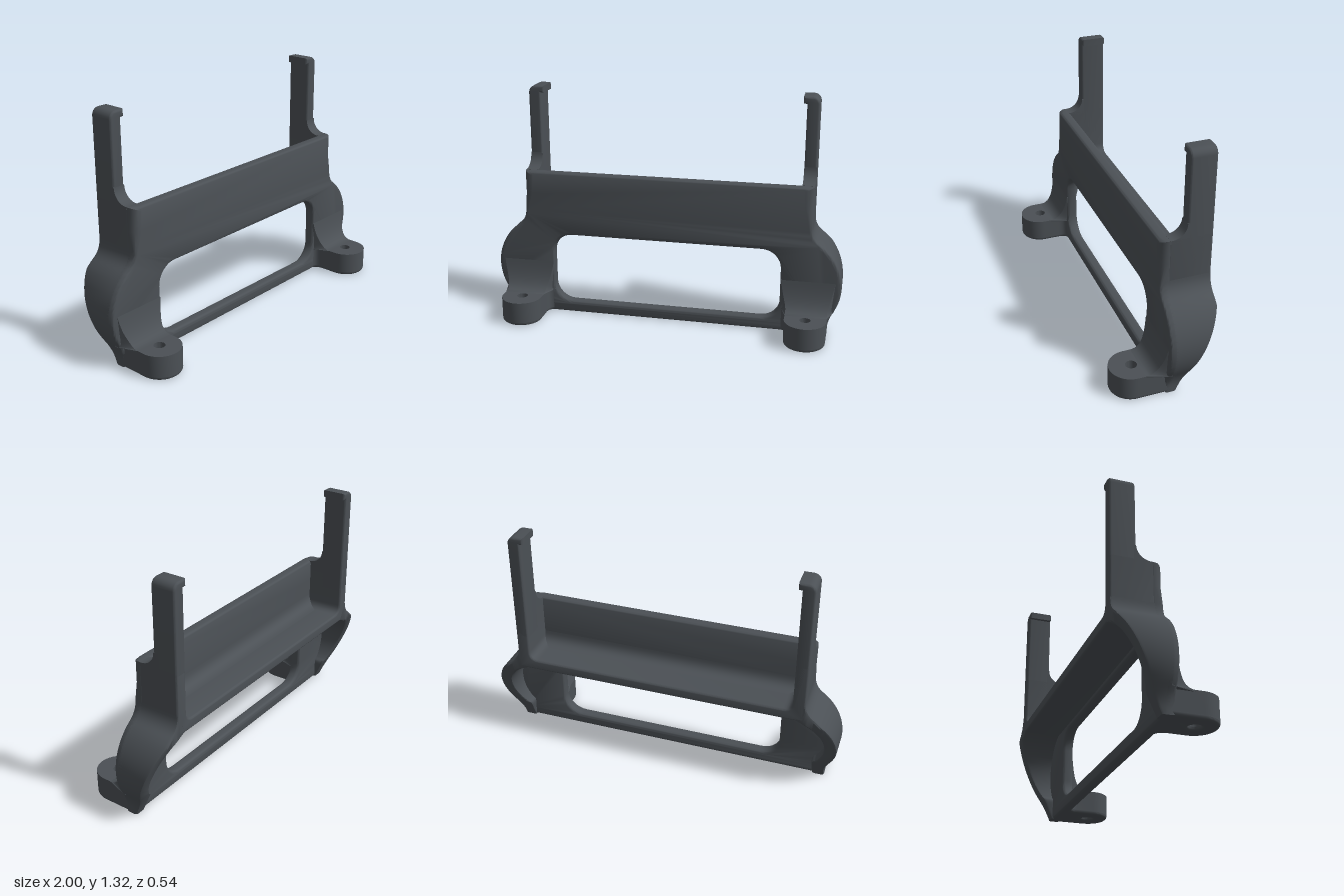
import * as THREE from 'three';
import { toCreasedNormals } from 'three/addons/utils/BufferGeometryUtils.js';

const FRONT = 0.01, BACK = -0.27;
const material = new THREE.MeshStandardMaterial({ color: 0x4b5055 });
const v = (x, y) => new THREE.Vector2(x, y);
const mirror = pts => pts.map(p => v(-p.x, p.y)).reverse();
const clamp = THREE.MathUtils.clamp;

function part(name, geometry) {
  const mesh = new THREE.Mesh(toCreasedNormals(geometry, 0.6), material);
  mesh.name = name;
  return mesh;
}

function arc(cx, cy, r, a0, a1, n) {
  const pts = [];
  for (let i = 0; i <= n; i++) {
    const a = THREE.MathUtils.degToRad(a0 + (a1 - a0) * i / n);
    pts.push(v(cx + r * Math.cos(a), cy + r * Math.sin(a)));
  }
  return pts;
}

function curve(x0, y0, cx, cy, x1, y1, n = 6) {
  return new THREE.QuadraticBezierCurve(v(x0, y0), v(cx, cy), v(x1, y1)).getPoints(n);
}

function roundedRect(w, y0, y1, r) {
  return [
    ...arc(w - r, y0 + r, r, -90, 0, 8), ...arc(w - r, y1 - r, r, 0, 90, 8),
    ...arc(r - w, y1 - r, r, 90, 180, 8), ...arc(r - w, y0 + r, r, 180, 270, 8),
  ];
}

// Extrusion that keeps the shape's full size, spanning z = 0..depth
function extrude(shape, depth, bevel = 0) {
  return new THREE.ExtrudeGeometry(shape, {
    depth: depth - 2 * bevel, bevelEnabled: bevel > 0, bevelThickness: bevel,
    bevelSize: bevel, bevelOffset: -bevel, bevelSegments: 4, curveSegments: 20,
  }).translate(0, 0, bevel);
}

// Extrude a (z, y) profile along x, centred on x
function alongX(points, width, x) {
  return extrude(new THREE.Shape(points), width).rotateY(-Math.PI / 2).translate(x + width / 2, 0, 0);
}

// Bulging side contour, from the base up to the straight shoulder
const side = [
  v(0.93, 0),
  ...curve(0.93, 0.03, 0.93, 0.075, 0.96, 0.13),
  ...arc(0.7, 0.28, 0.3, -30, 55, 24).slice(1),
  ...curve(0.872, 0.526, 0.825, 0.559, 0.825, 0.62).slice(1),
];

// Front plate with its window; the upper side edges are rounded more strongly
function frontPlate() {
  const right = [...side, v(0.825, 0.72), v(0.825, 0.85), v(0.77, 0.85)];
  const shape = new THREE.Shape([...right, ...mirror(right)]);
  shape.holes.push(new THREE.Path(roundedRect(0.66, 0.07, 0.48, 0.11)));
  const geo = extrude(shape, 0.065, 0.018).translate(0, 0, FRONT - 0.065);
  const p = geo.attributes.position;
  for (let i = 0; i < p.count; i++) {
    const x = p.getX(i), y = p.getY(i), z = p.getZ(i);
    if (y < 0.62 || Math.abs(x) < 0.78 || z < FRONT - 0.03) continue;
    const k = 1 + 1.5 * clamp((y - 0.62) / 0.1, 0, 1);
    p.setX(i, Math.sign(x) * (0.825 - k * (0.825 - Math.abs(x))));
    p.setZ(i, FRONT - k * (FRONT - z));
  }
  return part('frontPlate', geo);
}

// Shelf with the two upright side walls
function shelfAndWalls() {
  const right = [
    v(0.825, 0.5), v(0.825, 0.85), v(0.755, 0.85),
    ...curve(0.755, 0.61, 0.755, 0.56, 0.705, 0.56),
  ];
  const shape = new THREE.Shape([...right, ...mirror(right)]);
  return part('shelfAndWalls', extrude(shape, -0.035 - BACK, 0.012).translate(0, 0, BACK));
}

// Curved lower side wall, swept along the bulge, its rear edge cut on a slope
function cheek(s) {
  const N = 48, r = 0.014, m = r * 0.3;
  const outer = new THREE.SplineCurve(side).getSpacedPoints(N);
  const inner = new THREE.SplineCurve([v(0.86, 0), v(0.86, 0.06), ...arc(0.7, 0.28, 0.23, -46, 73, 20)]).getSpacedPoints(N);
  const backAt = y => THREE.MathUtils.lerp(-0.06, BACK, clamp(y / 0.48, 0, 1));
  const pos = [], index = [], R = 8;
  const tri = (a, b, c) => index.push(...(s > 0 ? [a, b, c] : [a, c, b]));
  outer.forEach((o, i) => {
    const n = inner[i], u = n.clone().sub(o).normalize();
    const add = (base, inset, lift) => {
      const q = base.clone().addScaledVector(u, inset);
      pos.push(s * q.x, q.y, lift === null ? -0.02 : backAt(q.y) + lift);
    };
    add(o, 0, null); add(o, 0, r); add(o, m, m); add(o, r, 0);
    add(n, -r, 0); add(n, -m, m); add(n, 0, r); add(n, 0, null);
  });
  for (let i = 0; i < N; i++) for (let j = 0; j < R - 1; j++) {
    const a = i * R + j;
    tri(a, a + 1, a + R);
    tri(a + 1, a + R + 1, a + R);
  }
  for (let j = 1; j < R - 1; j++) tri(0, j + 1, j);
  const geo = new THREE.BufferGeometry();
  geo.setAttribute('position', new THREE.Float32BufferAttribute(pos, 3));
  geo.setIndex(index);
  return part(s > 0 ? 'leftCheek' : 'rightCheek', geo);
}

// Upright arm with an inward hook on top and a concave foot at the front
function arm(s) {
  const group = new THREE.Group();
  group.name = s > 0 ? 'leftArm' : 'rightArm';
  const contour = [
    v(0.755, 0.7), v(0.825, 0.7),
    ...arc(0.785, 1.28, 0.04, 0, 90, 6),
    v(0.735, 1.32), v(0.735, 1.28), v(0.755, 1.28),
  ];
  const shape = new THREE.Shape(contour.map(p => v(s * p.x, p.y)));
  group.add(part('armPost', extrude(shape, 0.14, 0.012).translate(0, 0, BACK)));
  const foot = [v(-0.16, 0.83), v(-0.04, 0.83), v(-0.04, 0.85), ...arc(-0.05, 0.93, 0.08, 270, 180, 10), v(-0.16, 0.93)];
  group.add(part('armFoot', alongX(foot, 0.07, s * 0.79)));
  return group;
}

// Mounting tab with a screw hole, a rounded lower rim and a flared fillet up to the plate
function mountingTab(s) {
  const group = new THREE.Group();
  group.name = s > 0 ? 'leftMountingTab' : 'rightMountingTab';
  const outline = [
    v(0.93, -0.03),
    ...arc(0.815, 0.155, 0.115, 0, 180, 24),
    ...curve(0.7, 0.06, 0.7, 0.01, 0.66, 0.008),
    v(0.66, -0.03),
  ];
  const shape = new THREE.Shape(outline.map(p => v(s * p.x, p.y)));
  shape.holes.push(new THREE.Path(arc(s * 0.815, 0.15, 0.031, 0, 345, 23)));
  const slab = (top, height, bevel) => extrude(shape, height, bevel).rotateX(Math.PI / 2).translate(0, top, 0);
  group.add(part('tabBody', slab(0.14, 0.12, 0)));
  group.add(part('tabRim', slab(0.04, 0.04, 0.018)));

  const profile = [
    v(-0.02, 0.13), v(0.11, 0.13),
    ...curve(0.11, 0.14, 0.03, 0.14, 0.01, 0.31, 12),
    v(-0.02, 0.31),
  ];
  const cx = s * 0.815, fillet = alongX(profile, 0.23, cx), p = fillet.attributes.position;
  for (let i = 0; i < p.count; i++) {
    const flare = 0.035 * clamp((0.07 - p.getZ(i)) / 0.06, 0, 1) ** 2;
    p.setX(i, p.getX(i) + Math.sign(p.getX(i) - cx) * flare);
  }
  group.add(part('tabFillet', fillet));
  return group;
}

// Rounded inner corner between shelf and plate
function shelfFillet() {
  const profile = [v(-0.04, 0.55), v(-0.04, 0.63), ...curve(-0.055, 0.63, -0.055, 0.56, -0.125, 0.56, 8), v(-0.125, 0.55)];
  return part('shelfFillet', alongX(profile, 1.52, 0));
}

export function createModel() {
  const model = new THREE.Group();
  model.name = 'mountingBracket';
  model.add(frontPlate(), shelfAndWalls(), shelfFillet());
  for (const s of [1, -1]) model.add(cheek(s), arm(s), mountingTab(s));
  return model;
}
